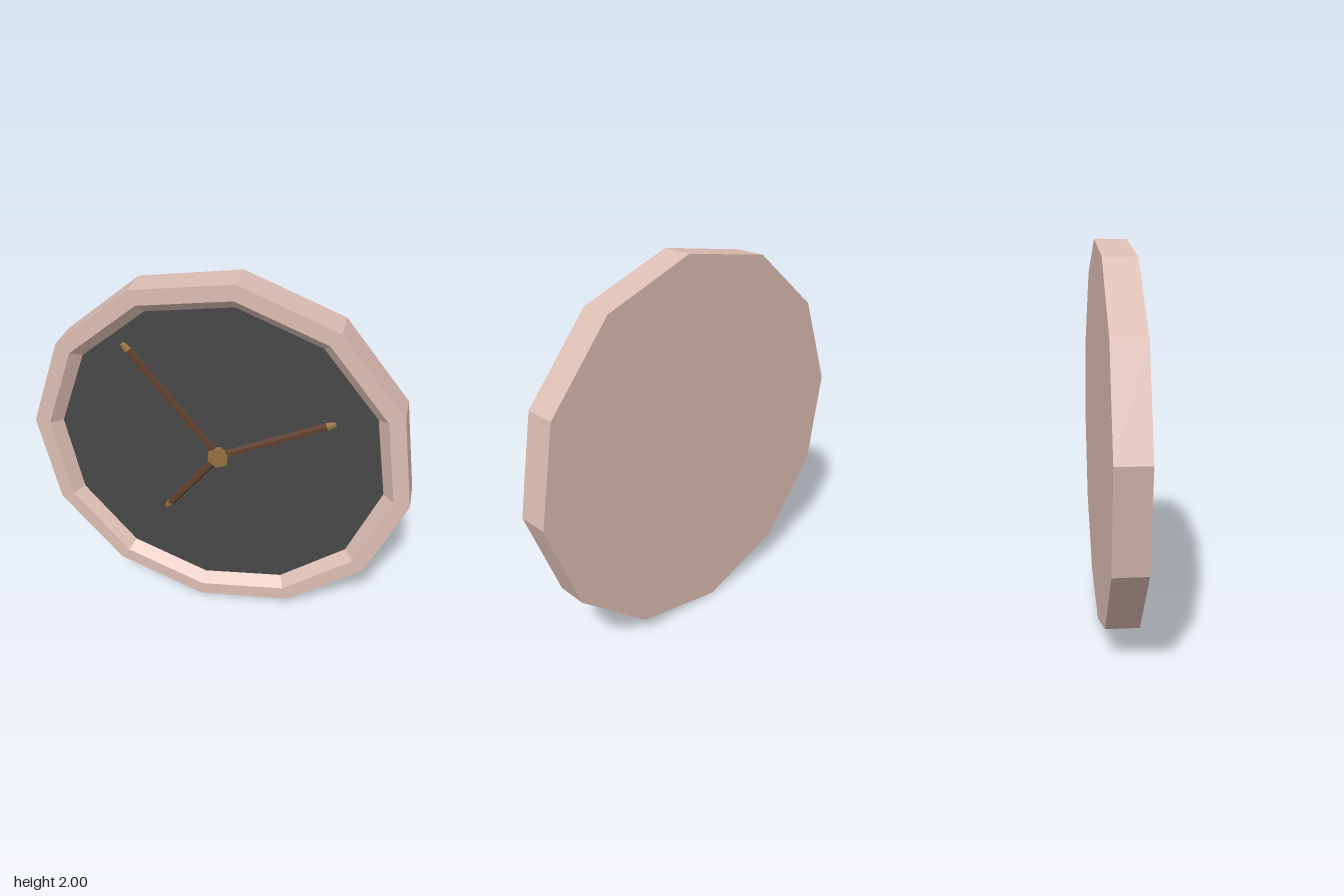
import * as THREE from 'three';

const material = (name, color) => {
  const m = new THREE.MeshStandardMaterial({ color, flatShading: true });
  m.name = name;
  return m;
};

export function createModel() {
  const pink = material('rose case', 0xdcbdb3);
  const grey = material('dark dial', 0x484848);
  const brown = material('brown hand', 0x5e3f2e);
  const gold = material('brass', 0x94703f);

  const clock = new THREE.Group();
  clock.name = 'wallClock';
  const add = (name, geometry, mat, parent = clock) => {
    const mesh = new THREE.Mesh(geometry, mat);
    mesh.name = name;
    parent.add(mesh);
    return mesh;
  };

  const tilt = -5.2 * Math.PI / 180;
  const half = 0.083, dialZ = 0.03;

  // Twelve-sided case: closed back, outer wall, front rim, sloped inner wall
  const profile = [[0, -half], [1.004, -half], [1.004, half], [0.922, half], [0.866, dialZ]]
    .map(([r, z]) => new THREE.Vector2(r, z));
  const caseShape = new THREE.LatheGeometry(profile, 12).toNonIndexed();
  caseShape.rotateX(Math.PI / 2).rotateZ(tilt).translate(0, 1, 0);
  caseShape.computeVertexNormals();
  add('case', caseShape, pink);

  // Recessed dial
  add('dial', new THREE.CircleGeometry(0.866, 12).rotateZ(tilt).translate(0, 1, dialZ), grey);

  // Hands: six-sided rods with short tapered brass tips
  const tipLength = 0.045, radius = 0.022;
  const addHand = (name, x, y) => {
    const length = Math.hypot(x, y), shaft = length - tipLength;
    const hand = new THREE.Group();
    hand.name = name;
    hand.position.set(0, 1, 0.031);
    hand.rotation.z = Math.atan2(y, x) - Math.PI / 2;
    clock.add(hand);
    add(name + 'Shaft', new THREE.CylinderGeometry(radius, radius, shaft, 6, 1, false, Math.PI / 6)
      .translate(0, shaft / 2, 0), brown, hand);
    add(name + 'Tip', new THREE.CylinderGeometry(0.013, radius, tipLength, 6, 1, false, Math.PI / 6)
      .translate(0, shaft + tipLength / 2, 0), gold, hand);
  };
  addHand('longHand', -0.49, 0.6);
  addHand('middleHand', 0.59, 0.305);
  addHand('shortHand', -0.3, -0.405);

  // Centre hub
  add('hub', new THREE.CylinderGeometry(0.06, 0.06, 0.035, 6)
    .rotateX(Math.PI / 2).rotateZ(tilt).translate(0, 1, 0.04), gold);

  return clock;
}
